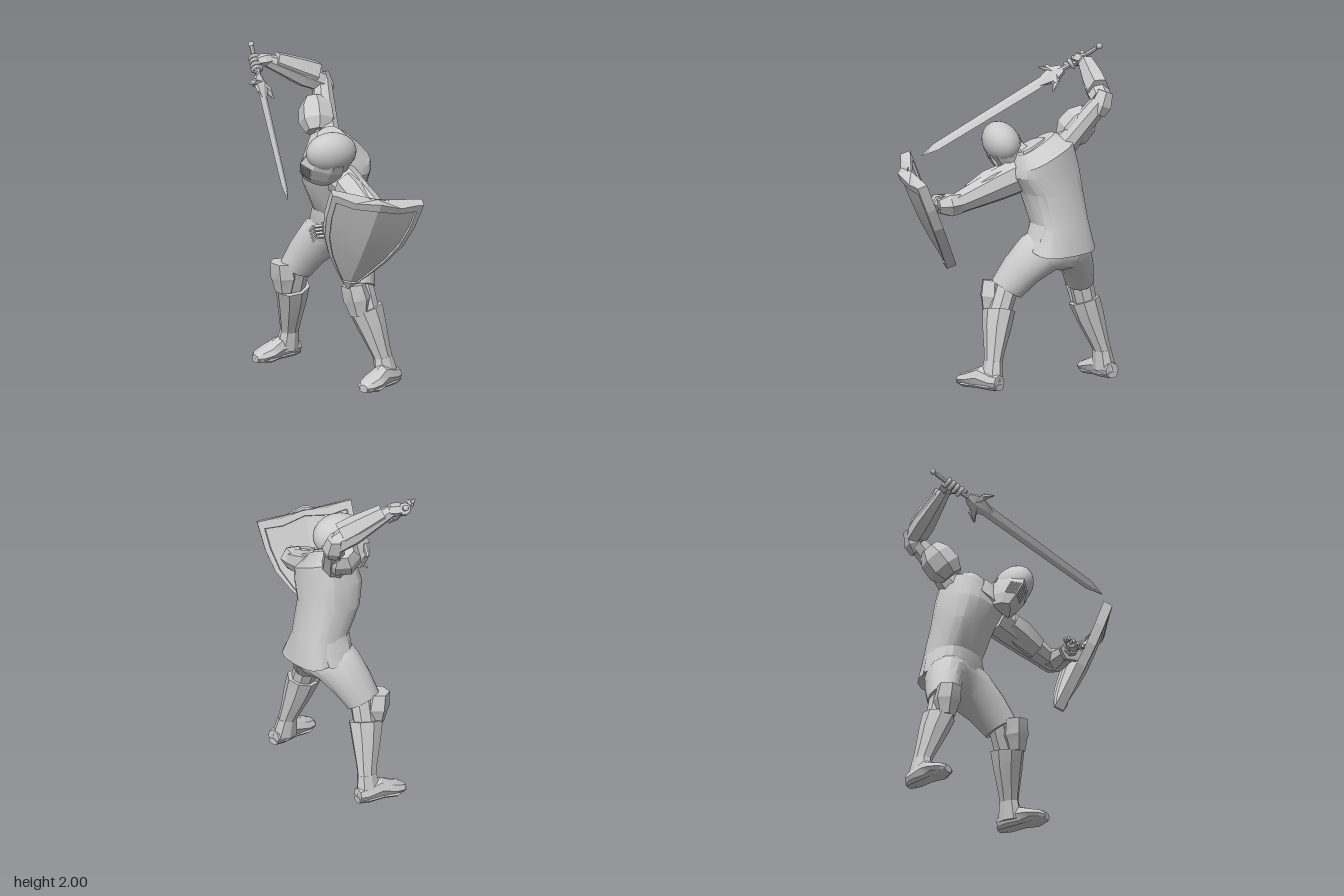
import * as THREE from 'three';
import { toCreasedNormals } from 'three/addons/utils/BufferGeometryUtils.js';

const V = (p) => new THREE.Vector3(...p);
const mix = (a, b, t) => a.map((c, i) => c + (b[i] - c) * t);

// Closed skin through equal-sized rings, capped at both ends, turned outward.
function loft(rings, crease = 0.35) {
  const tris = [], n = rings[0].length;
  const centre = (r) => r.reduce((s, p) => s.add(p), new THREE.Vector3()).divideScalar(n);
  const first = rings[0], last = rings[rings.length - 1];
  const c0 = centre(first), c1 = centre(last);
  for (let j = 0; j < n; j++) {
    const k = (j + 1) % n;
    tris.push([c0, first[k], first[j]], [c1, last[j], last[k]]);
    for (let i = 0; i + 1 < rings.length; i++) {
      const a = rings[i], b = rings[i + 1];
      tris.push([a[j], a[k], b[k]], [a[j], b[k], b[j]]);
    }
  }
  let volume = 0;
  for (const [a, b, c] of tris) {
    volume += a.clone().sub(c0).dot(b.clone().sub(c0).cross(c.clone().sub(c0)));
  }
  if (volume < 0) tris.forEach((t) => t.reverse());
  const g = new THREE.BufferGeometry().setFromPoints(tris.flat());
  return toCreasedNormals(g, crease);
}

// Elliptical ring around c in the plane of u and v
const ring = (c, u, ru, v, rv, n) => Array.from({ length: n }, (_, i) => {
  const q = (i / n) * Math.PI * 2;
  return c.clone().addScaledVector(u, ru * Math.cos(q)).addScaledVector(v, rv * Math.sin(q));
});

// Rings along a -> b; profile rows are [t, sideRadius, refRadius, refShift].
function limbGeometry(a, b, profile, n = 8, ref = [0, 0, 1], crease = 0.35) {
  const A = V(a), d = V(b).sub(A), L = d.length();
  d.normalize();
  const v = V(ref).addScaledVector(d, -V(ref).dot(d)).normalize();
  const u = v.clone().cross(d);
  return loft(profile.map(([t, ru, rv, shift = 0]) =>
    ring(A.clone().addScaledVector(d, t * L).addScaledVector(v, shift), u, ru, v, rv, n)), crease);
}

// Upright body sections: [cx, y, cz, halfX, halfZ, riseTowardX, riseTowardZ]
function sections(rows, n = 16) {
  return loft(rows.map(([cx, y, cz, hx, hz, sx = 0, sz = 0]) => Array.from({ length: n }, (_, i) => {
    const q = (i / n) * Math.PI * 2;
    const sq = (w) => Math.sign(w) * Math.abs(w) ** 0.7;
    const c = sq(Math.cos(q)), s = sq(Math.sin(q));
    return new THREE.Vector3(cx + hx * c, y + sx * c + sz * s, cz + hz * s);
  })), 0.5);
}

export function createModel() {
  const model = new THREE.Group();
  model.name = 'knight';
  const grey = new THREE.MeshStandardMaterial({ color: 0xcccccc });
  const add = (name, geometry, parent = model) => {
    const m = new THREE.Mesh(geometry, grey);
    m.name = name;
    parent.add(m);
    return m;
  };
  const limb = (name, ...args) => add(name, limbGeometry(...args));
  const frame = (name, origin, x, y, z) => {
    const g = new THREE.Group();
    g.name = name;
    g.applyMatrix4(new THREE.Matrix4().makeBasis(x, y, z).setPosition(V(origin)));
    model.add(g);
    return g;
  };

  // Tunic with a long back hem, and collar
  add('tunic', sections([
    [-0.18, 0.85, -0.38, 0.21, 0.125, -0.01, 0.03],
    [-0.2, 1.0, -0.325, 0.165, 0.152, -0.015, 0.01],
    [-0.19, 1.18, -0.26, 0.18, 0.165, 0, 0],
    [-0.15, 1.31, -0.235, 0.205, 0.175, -0.03, -0.01],
    [-0.13, 1.41, -0.245, 0.18, 0.155, -0.08, -0.01],
    [-0.11, 1.47, -0.2, 0.12, 0.09, -0.06, -0.02],
  ]));
  add('collar', sections([
    [-0.1, 1.35, -0.17, 0.14, 0.13, -0.07, -0.05],
    [-0.08, 1.46, -0.17, 0.09, 0.09, -0.04, -0.02],
  ], 10));
  limb('neck', [-0.08, 1.36, -0.17], [0, 1.46, -0.07], [[0, 0.08, 0.08], [1, 0.07, 0.07]]);

  // Shorts swept as an arch from hem to hem: [x, y, z, arch radius, depth radius, outward angle]
  const depth = V([0, 0.3, 0.95]).normalize();
  add('shorts', loft([
    [-0.455, 0.6, -0.19, 0.088, 0.105, 155], [-0.4, 0.71, -0.235, 0.103, 0.125, 150],
    [-0.33, 0.81, -0.285, 0.125, 0.14, 135], [-0.25, 0.855, -0.315, 0.14, 0.145, 108],
    [-0.15, 0.86, -0.32, 0.14, 0.145, 78], [-0.065, 0.82, -0.295, 0.125, 0.14, 48],
    [0.025, 0.725, -0.245, 0.105, 0.125, 32], [0.1, 0.61, -0.195, 0.09, 0.105, 27],
  ].map(([x, y, z, ra, rd, deg]) => {
    const q = THREE.MathUtils.degToRad(deg);
    return ring(V([x, y, z]), V([Math.cos(q), Math.sin(q), 0]), ra, depth, rd, 14);
  }), 0.6));
  add('waist', sections([
    [-0.2, 0.85, -0.315, 0.22, 0.12], [-0.2, 0.93, -0.315, 0.195, 0.14], [-0.2, 1.01, -0.315, 0.165, 0.14],
  ]));

  // Legs: hem, knee, shin top, ankle, heel, toe
  const legs = [
    ['right', [-0.45, 0.62, -0.2], [-0.48, 0.55, -0.14], [-0.495, 0.45, -0.2], [-0.59, 0.13, -0.26],
      [-0.595, 0.055, -0.33], [-0.62, 0.05, -0.01]],
    ['left', [0.1, 0.63, -0.2], [0.14, 0.55, -0.14], [0.165, 0.46, -0.2], [0.255, 0.15, -0.26],
      [0.265, 0.075, -0.34], [0.32, 0.075, -0.02]],
  ];
  for (const [side, hem, knee, shin, ankle, heel, toe] of legs) {
    limb(side + 'KneeJoint', hem, shin, [[0, 0.07, 0.08], [1, 0.065, 0.08]]);
    limb(side + 'KneeGuard', [knee[0] - 0.01, 0.65, knee[2] + 0.005], [shin[0], 0.46, shin[2] + 0.06],
      [[0, 0.08, 0.07, 0.025], [0.5, 0.09, 0.08, 0.01], [0.62, 0.08, 0.07, 0.01], [1, 0.06, 0.05, 0.01]], 6);
    limb(side + 'Greave', shin, ankle,
      [[-0.08, 0.086, 0.115], [0.25, 0.08, 0.095], [0.7, 0.055, 0.07], [1, 0.044, 0.058]], 8);
    limb(side + 'Ankle', mix(shin, ankle, 0.87), [heel[0], heel[1], heel[2] + 0.08],
      [[0, 0.05, 0.065], [1, 0.06, 0.085]]);
    limb(side + 'Foot', heel, toe,
      [[0, 0.045, 0.045], [0.15, 0.056, 0.055], [0.45, 0.06, 0.068, 0.018],
        [0.72, 0.078, 0.045], [0.92, 0.062, 0.034, -0.01], [1, 0.03, 0.02, -0.015]], 8, [0, 1, 0]);
    limb(side + 'Sole', [heel[0], heel[1] - 0.03, heel[2] - 0.005], [toe[0], toe[1] - 0.03, toe[2]],
      [[0, 0.035, 0.02], [0.2, 0.053, 0.024], [0.5, 0.052, 0.02], [0.75, 0.074, 0.024], [1, 0.03, 0.012]], 8, [0, 1, 0]);
  }

  // Raised right arm
  limb('rightUpperArm', [-0.22, 1.38, -0.24], [-0.45, 1.71, -0.4],
    [[0, 0.09, 0.09], [0.4, 0.07, 0.075], [1, 0.06, 0.06]]);
  limb('rightPauldron', [-0.31, 1.48, -0.24], [-0.425, 1.65, -0.32],
    [[0, 0.07, 0.08], [0.3, 0.11, 0.115], [0.7, 0.105, 0.11], [1, 0.06, 0.07]], 7);
  limb('rightElbow', [-0.43, 1.64, -0.4], [-0.48, 1.78, -0.41],
    [[0, 0.045, 0.05], [0.4, 0.065, 0.075], [1, 0.05, 0.055]], 6);
  limb('rightForearm', [-0.46, 1.73, -0.4], [-0.58, 1.91, -0.06],
    [[0, 0.065, 0.065], [0.3, 0.07, 0.075], [0.75, 0.048, 0.052], [1, 0.035, 0.04]], 7, [0, 1, 0]);
  limb('rightCuff', [-0.47, 1.78, -0.36], [-0.56, 1.9, -0.12],
    [[0, 0.07, 0.085], [0.35, 0.07, 0.078], [1, 0.05, 0.055]], 6, [0, 1, 0]);

  // Left arm behind the shield
  limb('leftUpperArm', [-0.02, 1.28, -0.15], [0.44, 1.13, -0.08],
    [[0, 0.1, 0.11], [0.3, 0.09, 0.1], [0.65, 0.08, 0.08], [1, 0.06, 0.06]], 8, [0, 1, 0]);
  limb('leftPauldron', [0.07, 1.265, -0.12], [0.28, 1.175, -0.085],
    [[0, 0.09, 0.09], [0.4, 0.1, 0.1], [1, 0.08, 0.08]], 7, [0, 1, 0]);
  limb('leftElbow', [0.37, 1.15, -0.1], [0.5, 1.135, -0.05],
    [[0, 0.06, 0.065], [0.5, 0.08, 0.075], [1, 0.045, 0.045]], 6, [0, 1, 0]);
  limb('leftForearm', [0.46, 1.14, -0.08], [0.3, 1.1, 0.2],
    [[0, 0.06, 0.065], [0.35, 0.065, 0.065], [1, 0.038, 0.038]], 7, [0, 1, 0]);
  limb('leftCuff', [0.42, 1.13, 0.0], [0.33, 1.1, 0.17],
    [[0, 0.06, 0.06], [0.75, 0.055, 0.05], [0.8, 0.075, 0.065], [1, 0.075, 0.065]], 6, [0, 1, 0]);
  limb('leftPalm', [0.32, 1.1, 0.17], [0.25, 1.09, 0.25], [[0, 0.035, 0.025], [1, 0.05, 0.022]], 6, [0, 1, 0]);
  for (let i = 0; i < 4; i++) {
    const k = (i - 1.5) * 0.025, a = [0.252 + k, 1.09 - k * 0.5, 0.24 + k * 0.6];
    const b = [a[0] - 0.03, a[1] - 0.002, a[2] + 0.045], c = [b[0] - 0.015, b[1] - 0.03, b[2] + 0.02];
    limb('leftFinger', a, b, [[0, 0.014, 0.014], [1, 0.012, 0.012]], 5, [0, 1, 0]);
    limb('leftFingertip', b, c, [[0, 0.012, 0.012], [1, 0.007, 0.007]], 5);
  }
  limb('leftThumb', [0.28, 1.1, 0.2], [0.2, 1.12, 0.21], [[0, 0.017, 0.017], [1, 0.009, 0.009]], 5);

  // Sword
  const pommel = [-0.71, 1.98, -0.06], tip = [0.21, 1.33, 0.5], guard = V([-0.02, 0.11, 0.16]).normalize();
  const along = (t, side = 0) => V(mix(pommel, tip, t)).addScaledVector(guard, side).toArray();
  const g = guard.toArray();
  limb('blade', pommel, tip, [[0.26, 0.011, 0.038], [0.92, 0.008, 0.029], [1, 0.001, 0.002]], 4, g, 0.1);
  limb('grip', pommel, tip, [[0.02, 0.013, 0.013], [0.14, 0.017, 0.017], [0.26, 0.015, 0.015]], 8, g);
  add('pommel', new THREE.IcosahedronGeometry(0.019, 1)).position.set(-0.707, 1.978, -0.058);
  limb('guardCollar', pommel, tip, [[0.21, 0.02, 0.03], [0.26, 0.028, 0.065], [0.35, 0.01, 0.025]], 6, g);
  for (const s of [-1, 1]) {
    limb('quillon', along(0.255), along(0.275, 0.07 * s), [[0, 0.022, 0.028], [1, 0.018, 0.028]], 6);
    limb('quillonTip', along(0.268, 0.058 * s), along(0.305, 0.105 * s), [[0, 0.018, 0.03], [1, 0.004, 0.006]], 6);
  }

  // Right hand closed round the grip
  limb('rightPalm', [-0.57, 1.91, -0.09], [-0.6, 1.91, 0], [[0, 0.036, 0.036], [0.5, 0.05, 0.04], [1, 0.045, 0.03]], 6, [0, 1, 0]);
  for (let i = 0; i < 4; i++) {
    const m = add('rightFinger', new THREE.TorusGeometry(0.026, 0.013, 5, 9));
    m.position.set(...along(0.09 + i * 0.024));
    m.quaternion.setFromUnitVectors(new THREE.Vector3(0, 0, 1), V(tip).sub(V(pommel)).normalize());
  }
  limb('rightThumb', [-0.58, 1.89, -0.04], along(0.19, 0.025), [[0, 0.018, 0.018], [1, 0.01, 0.01]], 5);

  // Helmet, leaning toward its left
  const up = V([0.46, 0.88, 0.08]).normalize();
  const face = V([-0.42, -0.1, 0.9]);
  face.addScaledVector(up, -face.dot(up)).normalize();
  const head = frame('helmet', [0.018, 1.47, -0.038], up.clone().cross(face), up, face);
  add('dome', new THREE.SphereGeometry(1, 28, 18), head).scale.set(0.11, 0.13, 0.158);
  const visorRing = (y, w, front, back) => [[-w, back], [-w, 0.02], [-w * 0.6, front * 0.68], [0, front],
    [w * 0.6, front * 0.68], [w, 0.02], [w, back]].map(([x, z]) => new THREE.Vector3(x, y, z));
  add('visor', loft([visorRing(-0.02, 0.107, 0.15, -0.05), visorRing(-0.08, 0.108, 0.18, -0.06),
    visorRing(-0.16, 0.092, 0.16, -0.05), visorRing(-0.22, 0.06, 0.11, 0)], 0.2), head);
  add('neckGuard', limbGeometry([0, -0.02, -0.05], [0, -0.13, -0.05],
    [[0, 0.1, 0.098], [1, 0.085, 0.08]], 10), head);
  for (const s of [-1, 1]) {
    for (let i = 0; i < 5; i++) {
      const bar = add('visorBar', new THREE.BoxGeometry(0.006, 0.08, 0.012), head);
      bar.position.set(s * (0.01 + i * 0.011), -0.125, 0.16 - i * 0.0098);
      bar.rotation.x = 0.25;
    }
    const hinge = add('visorHinge', new THREE.CylinderGeometry(0.02, 0.02, 0.01, 10), head);
    hinge.rotation.z = Math.PI / 2;
    hinge.position.set(s * 0.108, -0.035, -0.005);
  }

  // Heater shield: ridged board, rims standing proud on both sides; rows are [y, half width, notch, inset]
  const shield = frame('shield', [0.59, 1.32, 0.115],
    V([0.444, -0.205, -0.872]), V([0.392, 0.92, 0.023]), V([0.797, -0.352, 0.488]));
  const across = [-1, -0.89, -0.87, -0.5, 0, 0.5, 0.87, 0.89, 1];
  const plate = ([y, w, notch, inset]) => {
    const at = (f, side) => {
      const sunk = Math.abs(f) < 0.88 ? inset : 0;
      const rise = f === 0 ? notch : Math.abs(f) === 0.5 ? -notch : 0;
      return new THREE.Vector3(f * w, y + rise, 0.24 * w * (1 - Math.abs(f)) - 0.03 + side * (0.03 - sunk));
    };
    return [...across.map((f) => at(f, 1)), ...across.slice().reverse().map((f) => at(f, -1))];
  };
  add('shieldBoard', loft([
    [0.015, 0.29, 0.018, 0], [-0.034, 0.287, 0.012, 0], [-0.038, 0.287, 0.012, 0.012], [-0.16, 0.28, 0, 0.012],
    [-0.3, 0.25, 0, 0.012], [-0.43, 0.185, 0, 0.012], [-0.55, 0.1, 0, 0.012], [-0.61, 0.052, 0, 0.01],
    [-0.615, 0.048, 0, 0], [-0.665, 0.006, 0, 0],
  ].map(plate), 0.12), shield);
  return model;
}
